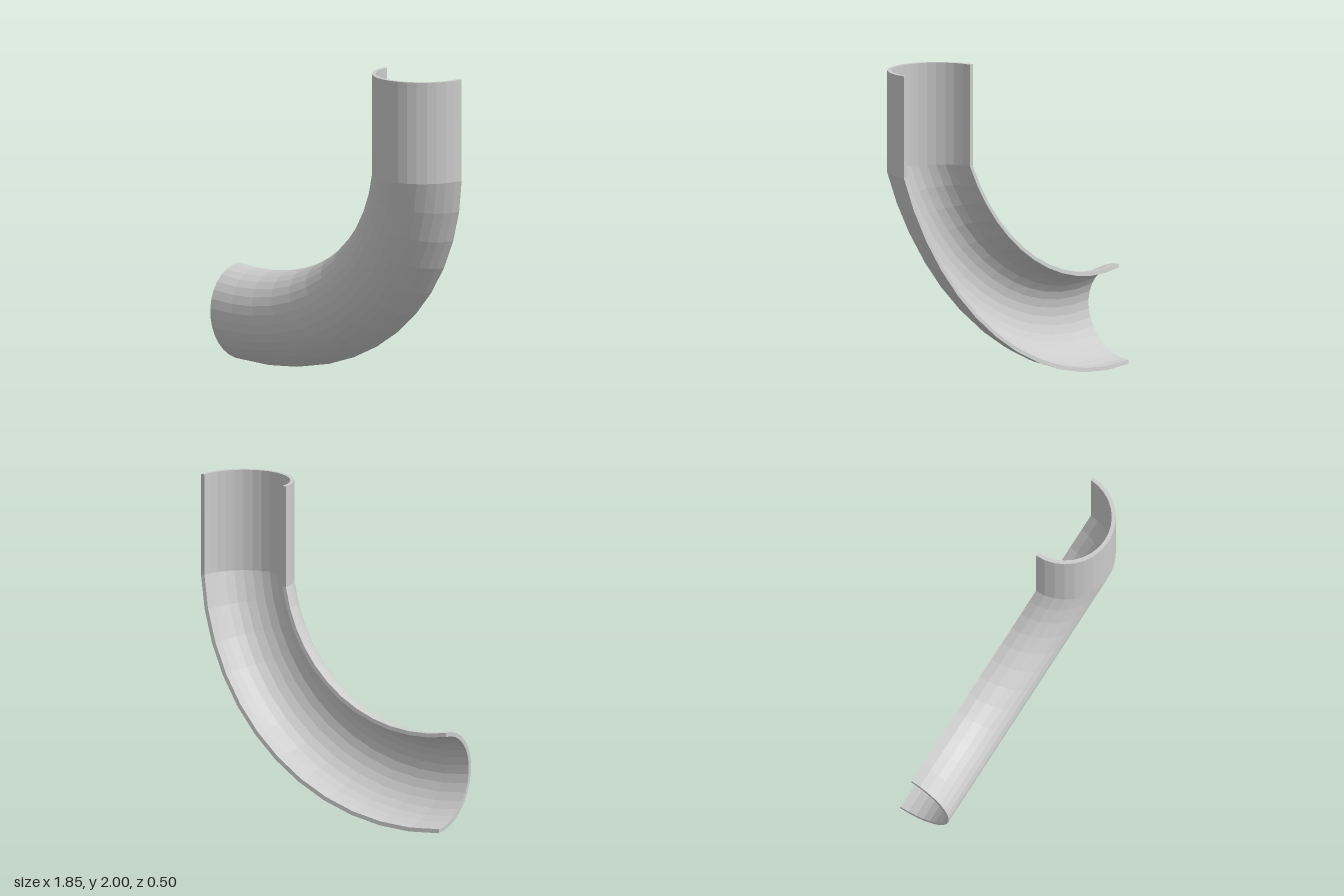
import * as THREE from 'three';

const ARC = 16;              // facets round the half circle
const BEND = 12;             // facets along the bend
const RADIUS = 0.31, WALL = 0.025;
const TOP = 2, JOINT = 1.37; // straight part runs between these heights
const PIPE_X = 0.61, PIPE_Z = -0.065;
const HUB_X = -0.72, HUB_Y = 1.668, END_X = -0.925;

// Closed half-pipe section: outer arc one way, inner arc back
function sectionPoints() {
  const points = [];
  const add = (i, r) => {
    const a = Math.PI * i / ARC;
    points.push([PIPE_X + r * Math.cos(a), PIPE_Z + (r + 0.005) * Math.sin(a)]);
  };
  for (let i = 0; i <= ARC; i++) add(i, RADIUS);
  for (let i = ARC; i >= 0; i--) add(i, RADIUS - WALL);
  return points;
}

// Section point carried round the leaning bend, t = 0 at the joint, 1 at the end
function bendPoint([x0, z0], t) {
  const dx = x0 - HUB_X, dy = JOINT - HUB_Y;
  const r = Math.hypot(dx, dy);
  const start = Math.atan2(dy, dx);
  const end = -Math.PI / 2 - Math.asin((HUB_X - END_X) / r);
  const a = THREE.MathUtils.lerp(start, end, t);
  const x = HUB_X + r * Math.cos(a), y = HUB_Y + r * Math.sin(a);
  return [x, y, z0 + 0.19 * (y - JOINT) - 0.05 * (x - x0)];
}

// Closed skin over a row of rings, with both cut ends filled
function skin(rings) {
  const n = rings[0].length, index = [];
  for (let k = 0; k < rings.length - 1; k++) {
    for (let i = 0; i < n; i++) {
      const a = k * n + i, b = k * n + (i + 1) % n;
      index.push(a, b, a + n, b, b + n, a + n);
    }
  }
  const last = (rings.length - 1) * n;
  for (let i = 0; i < ARC; i++) {
    const o = i, p = i + 1, q = n - 2 - i, s = n - 1 - i;
    index.push(o, s, p, p, s, q);
    index.push(last + o, last + p, last + s, last + p, last + q, last + s);
  }
  const geometry = new THREE.BufferGeometry();
  geometry.setAttribute('position', new THREE.Float32BufferAttribute(rings.flat(2), 3));
  geometry.setIndex(index);
  geometry.computeVertexNormals();
  return geometry;
}

export function createModel() {
  const group = new THREE.Group();
  group.name = 'halfPipeElbow';
  const section = sectionPoints();

  // Straight upright length, then the bend
  const rings = [section.map(([x, z]) => [x, TOP, z])];
  for (let k = 0; k <= BEND; k++) rings.push(section.map(p => bendPoint(p, k / BEND)));

  const material = new THREE.MeshStandardMaterial({ color: 0xcccccc, flatShading: true });
  const shell = new THREE.Mesh(skin(rings), material);
  shell.name = 'halfPipeShell';
  group.add(shell);
  return group;
}
